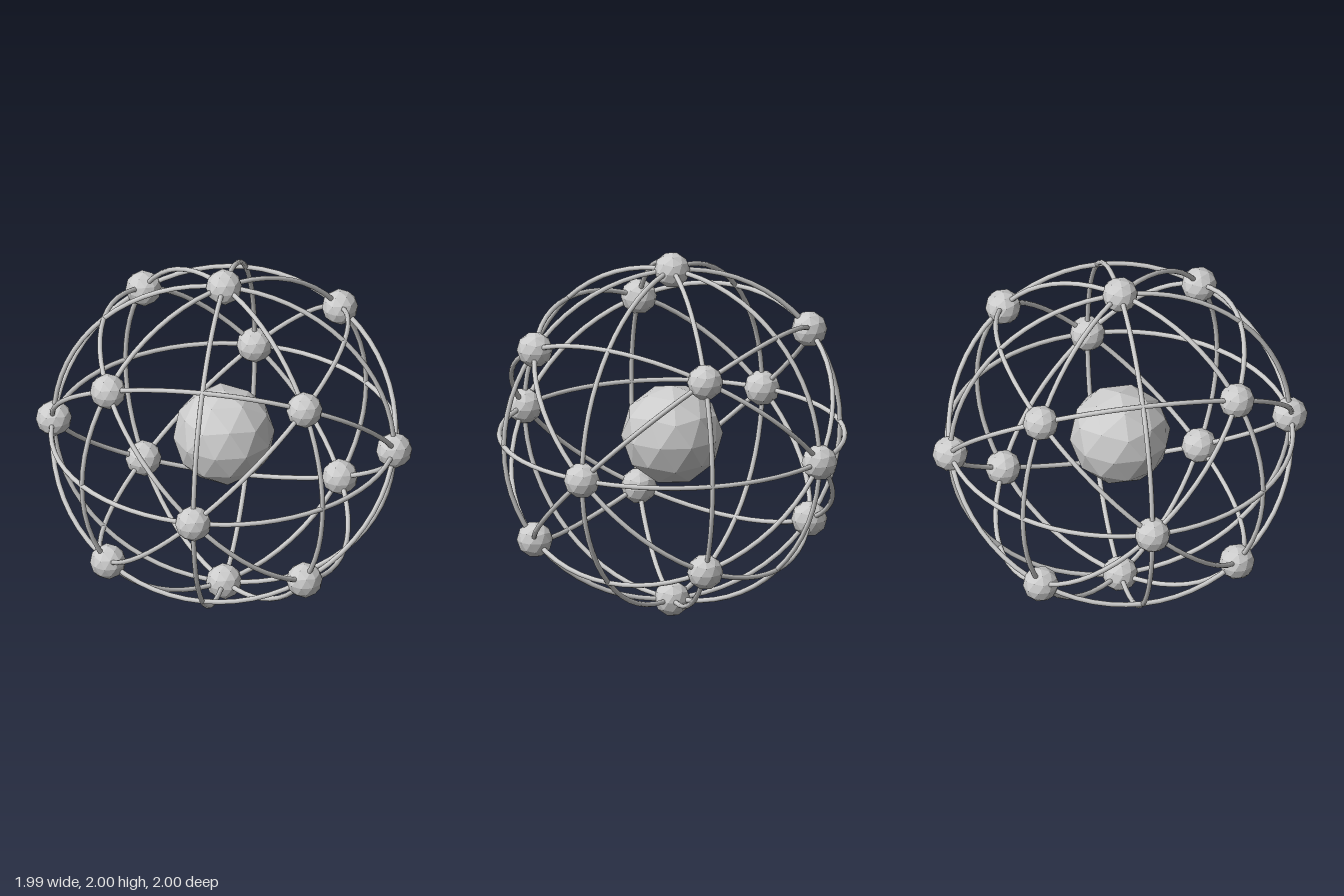
import * as THREE from 'three';

const RADIUS = 0.905;      // cage radius
const NODE = 0.095;        // joint ball radius
const CORE = 0.268;        // central ball radius
const TUBE = 0.0135;       // ring thickness

export function createModel() {
  const model = new THREE.Group();
  model.name = 'sphericalCage';
  const flat = new THREE.MeshStandardMaterial({ color: 0xcccccc, flatShading: true });
  const smooth = new THREE.MeshStandardMaterial({ color: 0xcccccc });

  const cage = new THREE.Group();
  cage.name = 'cage';
  cage.position.y = 1;
  model.add(cage);

  const add = (geometry, material, name) => {
    const mesh = new THREE.Mesh(geometry, material);
    mesh.name = name;
    cage.add(mesh);
    return mesh;
  };

  // Faceted ball with a vertex at each pole
  const ball = (r) => new THREE.IcosahedronGeometry(r, 1)
    .rotateZ(Math.atan(2 / (1 + Math.sqrt(5))));

  add(ball(CORE), flat, 'core');

  // Nine great circles: three square to the axes, six on the diagonals
  const normals = [
    [1, 0, 0], [0, 1, 0], [0, 0, 1],
    [1, 1, 0], [1, -1, 0], [1, 0, 1], [1, 0, -1], [0, 1, 1], [0, 1, -1],
  ];
  const ringGeometry = new THREE.TorusGeometry(RADIUS, TUBE, 8, 64);
  const forward = new THREE.Vector3(0, 0, 1);
  for (const n of normals) {
    const ring = add(ringGeometry, smooth, 'ring');
    ring.quaternion.setFromUnitVectors(forward, new THREE.Vector3(...n).normalize());
  }

  // Joint balls where rings cross: six on the axes, eight at cube corners
  const nodeGeometry = ball(NODE);
  const directions = [];
  for (const s of [-1, 1]) {
    directions.push([s, 0, 0], [0, s, 0], [0, 0, s]);
    for (const t of [-1, 1]) for (const u of [-1, 1]) directions.push([s, t, u]);
  }
  for (const d of directions) {
    add(nodeGeometry, flat, 'joint').position.set(...d).setLength(RADIUS);
  }
  return model;
}
